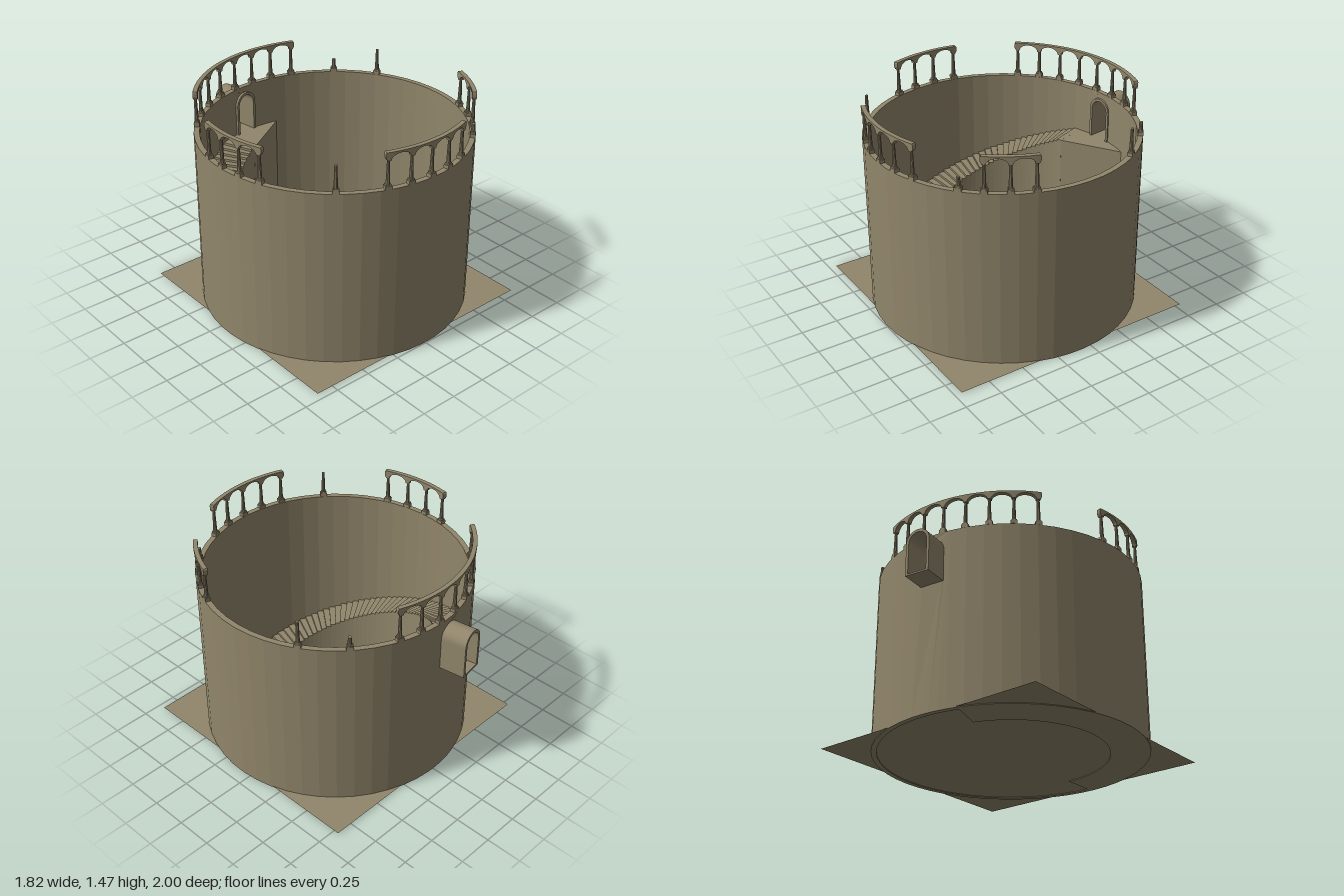
import * as THREE from 'three';
import { mergeGeometries } from 'three/addons/utils/BufferGeometryUtils.js';

const R_OUT = 0.912, R_IN = 0.875, R_MID = 0.894, WALL_H = 1.22;
const rad = THREE.MathUtils.degToRad;
const v2 = (x, y) => new THREE.Vector2(x, y);

// Flat facets
function faceted(geo) {
  const g = geo.index ? geo.toNonIndexed() : geo;
  g.computeVertexNormals();
  return g;
}

// Bends a geometry round the tower: x = degrees from the front, z = radius
function bend(geo, centreDeg = 0) {
  const p = geo.attributes.position;
  for (let i = 0; i < p.count; i++) {
    const a = rad(p.getX(i) + centreDeg), r = p.getZ(i);
    p.setXYZ(i, r * Math.sin(a), p.getY(i), r * Math.cos(a));
  }
  return faceted(geo);
}

function extrude(shape, depth, z = 0) {
  return new THREE.ExtrudeGeometry(shape, { depth, bevelEnabled: false }).translate(0, 0, z);
}

// Round-headed doorway outline; sx scales the width (for degrees)
function archPoints(half, bottom, spring, sx = 1) {
  const pts = [v2(-half * sx, bottom), v2(half * sx, bottom)];
  for (let i = 0; i <= 16; i++) {
    const a = Math.PI * i / 16;
    pts.push(v2(half * sx * Math.cos(a), spring + half * Math.sin(a)));
  }
  return pts;
}

export function createModel() {
  const stone = new THREE.MeshStandardMaterial({ color: 0x91866b });
  stone.name = 'weathered stone';
  const ground = stone.clone();
  ground.name = 'ground stone';
  ground.side = THREE.DoubleSide;

  const model = new THREE.Group();
  model.name = 'ruinedTower';
  const tower = new THREE.Group();
  tower.name = 'tower';
  tower.position.z = 0.083;
  model.add(tower);
  const add = (name, geo, mat = stone, parent = tower) => {
    const m = new THREE.Mesh(geo, mat);
    m.name = name;
    parent.add(m);
    return m;
  };

  // Square ground slab, which also forms the inner floor
  add('groundPlane', new THREE.PlaneGeometry(1.74, 1.74).rotateX(-Math.PI / 2).translate(0, 0.005, 0), ground);

  // Round wall, leaving a gap for the doorway panel
  const doorDeg = 185.7, halfGap = 8;
  const profile = [v2(R_OUT, 0), v2(R_OUT, WALL_H), v2(R_IN, WALL_H), v2(R_IN, 0), v2(R_OUT, 0)];
  add('roundWall', faceted(new THREE.LatheGeometry(profile, 48, rad(doorDeg + halfGap), rad(360 - 2 * halfGap))));

  // Wall panel pierced by the doorway
  const panel = new THREE.Shape();
  panel.moveTo(-halfGap, 0);
  for (const x of [-4, 0, 4, 8]) panel.lineTo(x, 0);
  for (const x of [8, 4, 0, -4, -8]) panel.lineTo(x, WALL_H);
  panel.holes.push(new THREE.Path(archPoints(0.074, 0.875, 1.094, 180 / Math.PI / R_MID)));
  add('doorwayWall', bend(extrude(panel, R_OUT - R_IN, R_IN), doorDeg));

  // Vaulted passage through the wall
  const passage = new THREE.Shape(archPoints(0.086, 0.868, 1.094));
  passage.holes.push(new THREE.Path(archPoints(0.067, 0.88, 1.094)));
  const tunnel = add('vaultedPassage', faceted(extrude(passage, 0.222)));
  tunnel.position.set(-0.083, 0, -0.853);
  tunnel.rotation.y = rad(188.3);

  // Stair winding up the inside of the wall
  const steps = 54, sweep = 162, landingH = 0.88;
  const stepGeos = [];
  for (let i = 0; i < steps; i++) {
    const w = sweep / steps, h = landingH * (i + 1) / steps;
    stepGeos.push(bend(new THREE.BoxGeometry(w, h, 0.227).translate(-w * (i + 0.5), h / 2, 0.7635)));
  }
  add('windingStair', mergeGeometries(stepGeos));

  // Landing in front of the doorway
  const landing = new THREE.Shape();
  landing.moveTo(-0.2, 0.618);
  landing.lineTo(0.18, 0.857);
  for (let a = 168; a <= 198; a += 3) landing.lineTo(0.877 * Math.sin(rad(a)), -0.877 * Math.cos(rad(a)));
  add('landing', faceted(extrude(landing, landingH - 0.006, 0.006).rotateX(-Math.PI / 2)));

  // Column on a stepped pedestal
  function columnGeo(deg, height) {
    const parts = [
      new THREE.BoxGeometry(0.045, 0.024, 0.036).translate(0, 0.012, 0),
      new THREE.BoxGeometry(0.034, 0.01, 0.03).translate(0, 0.029, 0),
      new THREE.CylinderGeometry(0.015 - 0.03 * height, 0.014, height - 0.03, 10).translate(0, 0.03 + (height - 0.03) / 2, 0),
    ];
    return faceted(mergeGeometries(parts).translate(0, WALL_H, R_MID).rotateY(rad(deg)));
  }

  // One arch between two columns ten degrees apart
  const SPRING = 1.41, TOP = 1.465, RISE = 0.042;
  function archGeo(deg) {
    const s = new THREE.Shape();
    s.moveTo(0, TOP);
    s.lineTo(0, SPRING);
    for (let i = 0; i <= 12; i++) {
      const a = Math.PI * (1 - i / 12);
      s.lineTo(5 + 4.2 * Math.cos(a), SPRING + RISE * Math.sin(a));
    }
    s.lineTo(10, SPRING);
    for (const x of [10, 7.5, 5, 2.5]) s.lineTo(x, TOP);
    return bend(extrude(s, 0.03, R_MID - 0.015), deg);
  }

  // Short chamfered end of an arcade
  function endGeo(deg, side) {
    const s = new THREE.Shape([v2(0, SPRING), v2(0.7 * side, SPRING), v2(1.4 * side, SPRING + 0.02),
      v2(1.4 * side, TOP - 0.008), v2(1.1 * side, TOP), v2(0, TOP)]);
    return bend(extrude(s, 0.03, R_MID - 0.015), deg);
  }

  // Surviving arcades: first and last column, in degrees from the front
  const arcades = { backArcade: [160, 230], frontArcade: [-20, 20], rightArcade: [-110, -80].map(d => d + 360 + 20 - 0), leftArcade: [50, 70] };
  arcades.rightArcade = [260, 290]; 
  for (const [name, [from, to]] of Object.entries(arcades)) {
    const group = new THREE.Group();
    group.name = name;
    tower.add(group);
    const columns = [], arches = [endGeo(from, -1), endGeo(to, 1)];
    for (let d = from; d <= to; d += 10) {
      columns.push(columnGeo(d, SPRING - WALL_H + 0.004));
      if (d < to) arches.push(archGeo(d));
    }
    add('columns', mergeGeometries(columns), stone, group);
    add('arches', mergeGeometries(arches), stone, group);
  }

  // Broken columns standing alone
  for (const [deg, h] of [[40, 0.09], [-40, 0.185], [120, 0.185], [140, 0.09]])
    add('brokenColumn', columnGeo(deg, h));

  return model;
}
